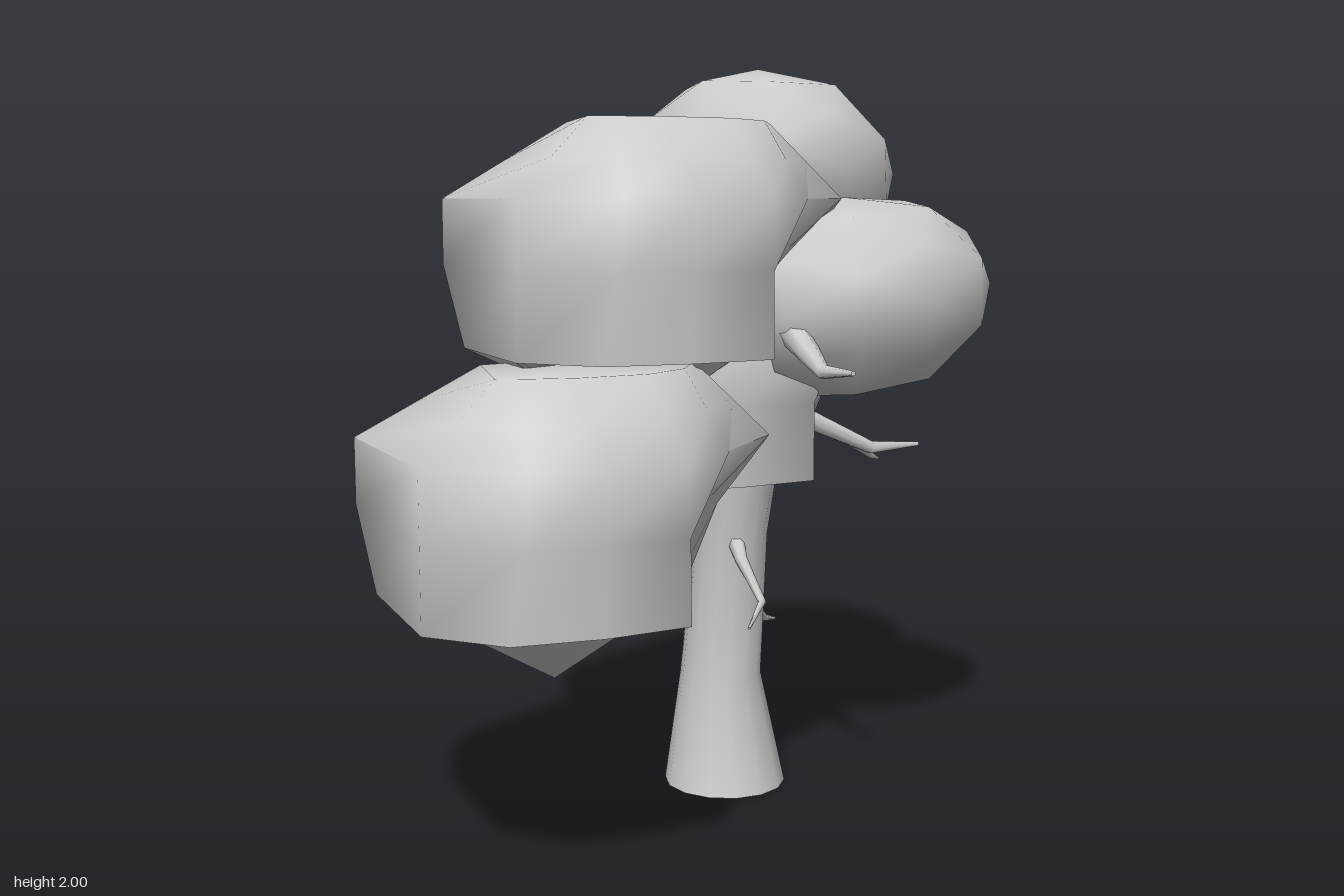
import * as THREE from 'three';
import { mergeVertices, toCreasedNormals } from 'three/addons/utils/BufferGeometryUtils.js';

const material = new THREE.MeshStandardMaterial({ color: 0xcccccc });

// Indexed surface from rings of corners, ordered bottom to top
function indexed(pos, index) {
  const g = new THREE.BufferGeometry();
  g.setAttribute('position', new THREE.Float32BufferAttribute(pos, 3));
  g.setIndex(index);
  g.computeVertexNormals();
  return g;
}

// Faces of the walls between neighbouring rings
function wallFaces(rings, sides) {
  const index = [];
  for (let i = 0; i < rings - 1; i++)
    for (let s = 0; s < sides; s++) {
      const a = i * sides + s, b = i * sides + ((s + 1) % sides);
      index.push(a, b, b + sides, a, b + sides, a + sides);
    }
  return index;
}

// Tapered limb: rings of given radius along a bent path, closed at both ends
function limb(path, radii, sides, upright = false) {
  const pts = path.map((p) => new THREE.Vector3(...p));
  const pos = [], up = new THREE.Vector3(0, 1, 0);
  pts.forEach((p, i) => {
    const dir = pts[Math.min(i + 1, pts.length - 1)].clone().sub(pts[Math.max(i - 1, 0)]).normalize();
    const turn = new THREE.Quaternion().setFromUnitVectors(up, upright ? up : dir);
    for (let s = 0; s < sides; s++) {
      const a = (s / sides) * Math.PI * 2;
      const v = new THREE.Vector3(Math.sin(a), 0, Math.cos(a)).multiplyScalar(radii[i]);
      pos.push(...v.applyQuaternion(turn).add(p).toArray());
    }
  });
  const index = wallFaces(pts.length, sides);
  // End caps with their own corners, to keep the rims sharp
  for (const end of [0, pts.length - 1]) {
    const first = pos.length / 3;
    for (let k = 0; k < sides * 3; k++) pos.push(pos[end * sides * 3 + k]);
    for (let s = 1; s < sides - 1; s++)
      index.push(first, ...(end ? [first + s, first + s + 1] : [first + s + 1, first + s]));
  }
  return indexed(pos, index);
}

// Large angular leaf mass: [x, z] corners per level, running left, front, right, back
function leafMass() {
  const ring = (y, corners) => corners.map(([x, z]) => [x, y, z]);
  const bottom = [-0.18, 1.07, 0.15], top = [-0.1, 1.83, 0.15];
  const low = ring(1.26, [[-0.59, 0.26], [-0.47, 0.45], [-0.26, 0.51], [-0.04, 0.53], [0.02, 0.33],
    [0.23, 0.13], [0.2, -0.06], [0.1, -0.16], [-0.08, -0.2], [-0.5, -0.17]]);
  const middle = ring(1.47, [[-0.59, 0.26], [-0.45, 0.48], [-0.26, 0.52], [-0.05, 0.54], [0.06, 0.37],
    [0.26, 0.22], [0.26, -0.03], [0.15, -0.32], [-0.05, -0.41], [-0.5, -0.28]]);
  const high = ring(1.64, [[-0.59, 0.26], [-0.44, 0.49], [-0.26, 0.53], [-0.07, 0.56], [0.14, 0.43],
    [0.385, 0.27], [0.33, 0.05], [0.16, -0.34], [-0.05, -0.41], [-0.5, -0.28]]);
  const crown = ring(1.83, [[-0.41, 0.29], [-0.36, 0.32], [-0.24, 0.37], [-0.06, 0.39], [0.08, 0.33],
    [0.2, 0.2], [0.15, 0.08], [0.08, 0.0], [-0.06, -0.03], [-0.28, -0.02]]);
  // Halfway ring, kept level at the listed corners so that they form a ledge
  const ledge = (outer, inner, level) => outer.map((o, i) =>
    o.map((v, k) => (k === 1 && level.includes(i) ? v : (v + inner[i][k]) / 2)));

  const under = ledge(low, low.map(() => bottom), [0, 1, 2, 3]);
  const shoulder = ledge(high, crown, [7, 8]);
  const rings = [under, low, middle, high, shoulder, crown];
  const n = low.length, last = (rings.length - 1) * n, pole = rings.length * n;
  const index = wallFaces(rings.length, n);
  for (let s = 0; s < n; s++) {
    const t = (s + 1) % n;
    index.push(pole, t, s, pole + 1, last + s, last + t);
  }
  const pos = [...rings.flat(), bottom, top].flat();
  return toCreasedNormals(indexed(pos, index), 1.25);
}

// Small leaf mass: a coarse ball, squared off and leaning in x and z
function leafBall(power, leanX, leanZ) {
  const ball = new THREE.IcosahedronGeometry(1, 1);
  ball.deleteAttribute('normal');
  ball.deleteAttribute('uv');
  const g = mergeVertices(ball, 1e-4);
  const p = g.attributes.position;
  for (let i = 0; i < p.count; i++) {
    const v = [p.getX(i), p.getY(i), p.getZ(i)];
    const size = v.reduce((sum, c) => sum + Math.abs(c) ** power, 0) ** (1 / power);
    const [x, y, z] = v.map((c) => c / size);
    p.setXYZ(i, x + leanX * y, y, z + leanZ * y);
  }
  g.computeVertexNormals();
  return g;
}

export function createModel() {
  const tree = new THREE.Group();
  tree.name = 'tree';
  const add = (name, geometry, position = [0, 0, 0], scale = [1, 1, 1]) => {
    const mesh = new THREE.Mesh(geometry, material);
    mesh.name = name;
    mesh.position.set(...position);
    mesh.scale.set(...scale);
    tree.add(mesh);
    return mesh;
  };

  // Trunk with flared foot, leaning forward
  add('trunk', limb(
    [[0.24, 0, -0.033], [0.243, 0.31, -0.06], [0.235, 0.72, -0.005], [0.23, 0.86, 0.04], [0.23, 0.95, 0.07]],
    [0.17, 0.114, 0.102, 0.097, 0.08], 14, true));

  // Branches: path and thickness
  const branches = {
    leftBranch: [[[0.28, 1.09, 0.04], [0.37, 1.06, 0.09], [0.62, 0.945, 0.14], [0.78, 0.945, 0.16]], 0.042],
    leftFork: [[[0.56, 0.97, 0.12], [0.68, 0.91, 0.07], [0.74, 0.89, 0.04]], 0.018],
    frontBranch: [[[0.18, 1.32, 0.3], [0.155, 1.26, 0.42], [0.12, 1.22, 0.52], [0.095, 1.23, 0.66]], 0.042],
    lowerLeftBranch: [[[0.29, 0.53, -0.02], [0.35, 0.49, -0.05], [0.44, 0.425, -0.11], [0.51, 0.405, -0.15]], 0.024],
    lowerFrontBranch: [[[0.2, 0.72, 0.06], [0.185, 0.67, 0.11], [0.165, 0.58, 0.23], [0.06, 0.54, 0.31]], 0.025],
    lowerBackBranch: [[[0.17, 0.75, -0.04], [0.13, 0.7, -0.12], [0.09, 0.63, -0.25], [0.04, 0.62, -0.36]], 0.024],
    upperBackTwig: [[[0.2, 0.82, -0.04], [0.22, 0.77, -0.18], [0.24, 0.75, -0.32]], 0.02],
    rightTwig: [[[0.16, 0.92, 0.04], [0.02, 0.88, 0.05], [-0.04, 0.85, 0.06]], 0.018],
  };
  for (const [name, [path, r]] of Object.entries(branches)) {
    const radii = path.map((_, i) => r * (1 - 0.85 * (i / (path.length - 1))));
    add(name, limb(path, radii, 7));
  }

  // Three large leaf masses share one form
  const mass = leafMass();
  add('upperRightFoliage', mass);
  add('lowerRightFoliage', mass, [-0.3, -0.59, 0.085]);
  add('middleFoliage', mass, [0.34, -0.36, -0.255]);

  // Two smaller rounded leaf masses, the lower one tipped sideways
  add('topFoliage', leafBall(2.15, -0.12, 0.08), [0.475, 1.71, -0.18], [0.365, 0.29, 0.375]);
  add('leftFoliage', leafBall(2.35, 0, 0.05), [0.485, 1.375, 0.175], [0.4, 0.27, 0.355]).rotation.z = 0.1;
  return tree;
}
